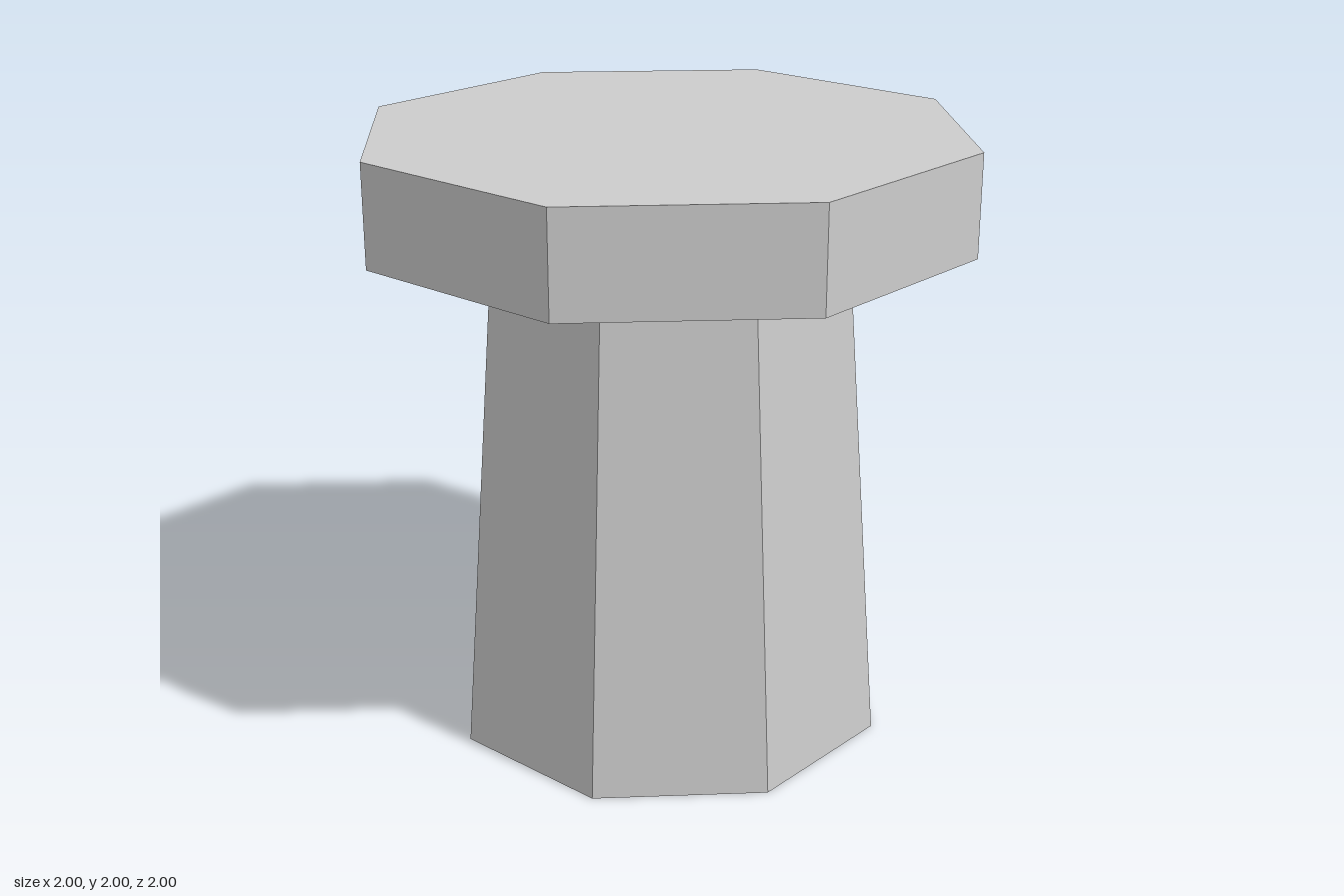
import * as THREE from 'three';

const SIDES = 8;

export function createModel() {
  const group = new THREE.Group();
  group.name = 'octagonalPedestal';

  const stone = new THREE.MeshStandardMaterial({ color: 0xcccccc, flatShading: true });
  stone.name = 'light grey';

  // Eight-sided drum standing between two heights
  const addDrum = (name, topRadius, bottomRadius, bottom, top) => {
    const geometry = new THREE.CylinderGeometry(topRadius, bottomRadius, top - bottom, SIDES);
    const mesh = new THREE.Mesh(geometry, stone);
    mesh.name = name;
    mesh.position.y = (bottom + top) / 2;
    group.add(mesh);
  };

  // Tapered column and the wide slab resting on it
  addDrum('column', 0.602, 0.732, 0, 1.67);
  addDrum('capSlab', 1, 1, 1.67, 2);

  return group;
}
